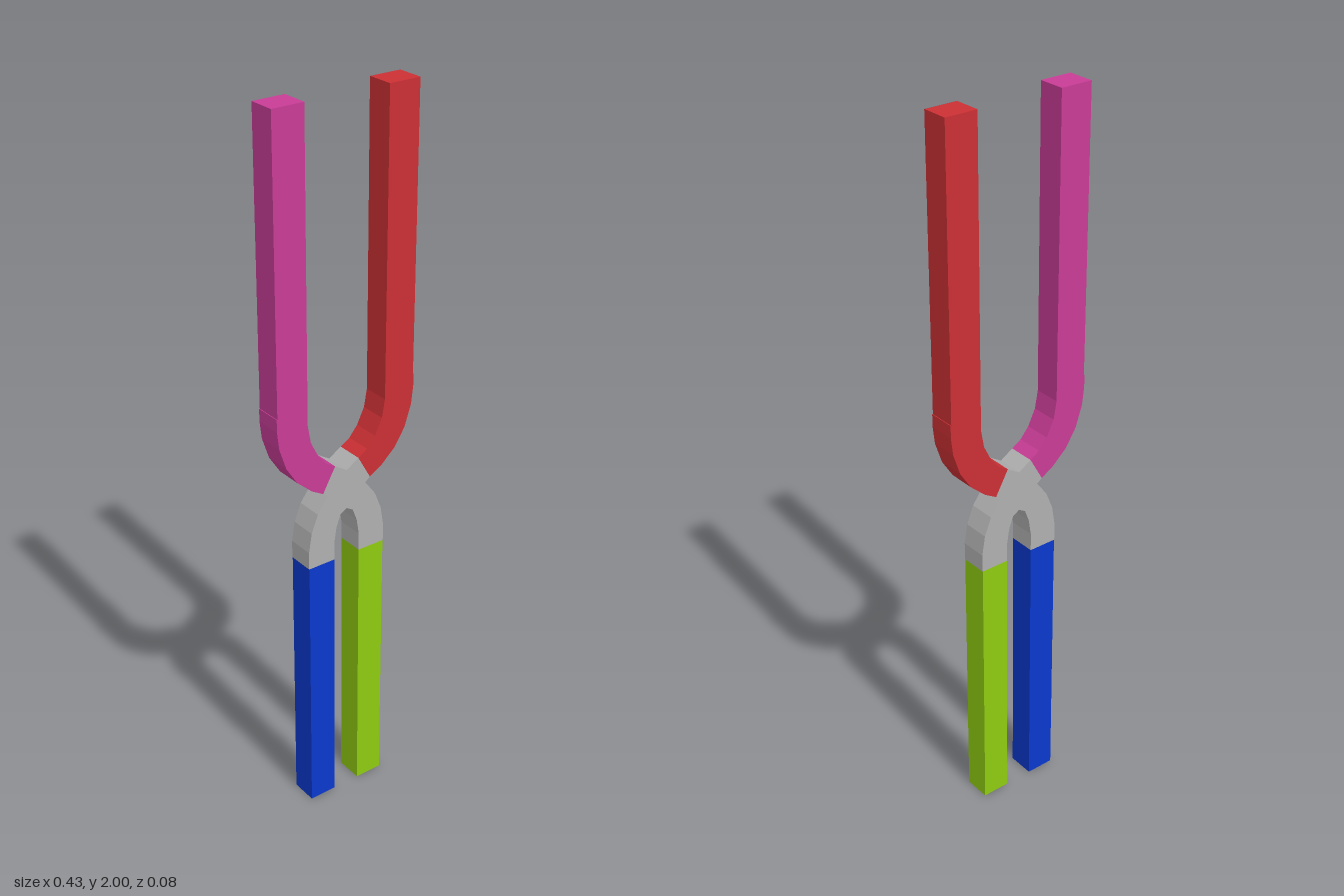
import * as THREE from 'three';

const DEPTH = 0.075;

// Flat outline extruded through the thickness, centred on z = 0
function slab(name, points, color) {
  const shape = new THREE.Shape(points.map(([x, y]) => new THREE.Vector2(x, y)));
  const geometry = new THREE.ExtrudeGeometry(shape, { depth: DEPTH, bevelEnabled: false });
  geometry.translate(0, 0, -DEPTH / 2);
  const material = new THREE.MeshStandardMaterial({ color, flatShading: true });
  const mesh = new THREE.Mesh(geometry, material);
  mesh.name = name;
  return mesh;
}

const mirror = (points) => points.map(([x, y]) => [-x, y]).reverse();

function bar(name, x, width, bottom, top, color) {
  const a = x - width / 2, b = x + width / 2;
  return slab(name, [[a, bottom], [b, bottom], [b, top], [a, top]], color);
}

export function createModel() {
  const group = new THREE.Group();
  group.name = 'forkedStrand';

  const red = 0xcc3034, magenta = 0xc83c96, blue = 0x0a38cc, green = 0x8fca10, grey = 0xb0b0b0;

  // Curved foot of an upper arm: outer edge upward, then inner edge downward
  const bend = [
    [0.075, 0.98], [0.11, 1.0], [0.155, 1.04], [0.187, 1.09], [0.207, 1.15], [0.213, 1.2], [0.213, 1.235],
    [0.121, 1.235], [0.121, 1.19], [0.112, 1.14], [0.09, 1.095], [0.065, 1.065], [0.037, 1.048],
  ];

  // Right half of the crossing: arch underside, outer leg, side notch, upper tip
  const half = [
    [0, 0.912], [0.02, 0.9], [0.033, 0.865], [0.04, 0.82], [0.04, 0.77],
    [0.121, 0.77], [0.121, 0.82], [0.112, 0.875], [0.092, 0.925], [0.06, 0.968],
    [0.075, 0.98], [0.037, 1.048], [0, 1.025],
  ];
  const crossing = [...half, ...mirror(half).slice(1, -1)];
  group.add(slab('crossing', crossing, grey));

  // Upper arms
  group.add(slab('leftArmBend', bend, red));
  group.add(bar('leftArm', 0.166, 0.09, 1.235, 2, red));
  group.add(slab('rightArmBend', mirror(bend), magenta));
  group.add(bar('rightArm', -0.166, 0.09, 1.235, 2, magenta));

  // Lower legs
  group.add(bar('leftLeg', 0.08, 0.08, 0, 0.77, green));
  group.add(bar('rightLeg', -0.08, 0.08, 0, 0.77, blue));

  return group;
}
